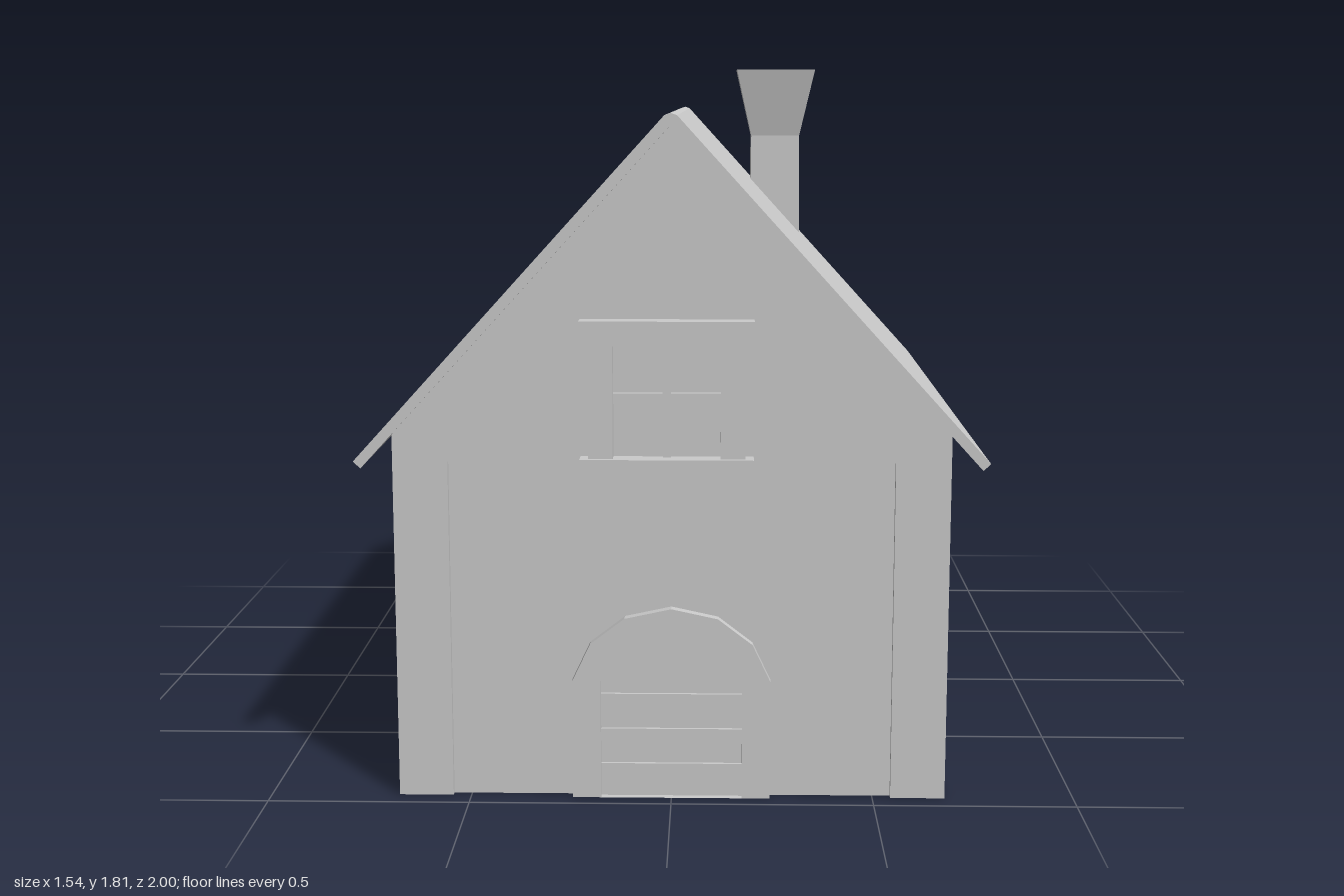
import * as THREE from 'three';

const material = new THREE.MeshStandardMaterial({ color: 0xcccccc, flatShading: true, side: THREE.DoubleSide });

export function createModel() {
  const house = new THREE.Group();

  const add = (name, geometry) => {
    const mesh = new THREE.Mesh(geometry, material);
    mesh.name = name;
    house.add(mesh);
    return mesh;
  };
  // Box given by its extents on each axis
  const box = (name, x0, x1, y0, y1, z0, z1) => add(name,
    new THREE.BoxGeometry(x1 - x0, y1 - y0, z1 - z0)
      .translate((x0 + x1) / 2, (y0 + y1) / 2, (z0 + z1) / 2));
  const outline = (points) => new THREE.Shape(points.map(([x, y]) => new THREE.Vector2(x, y)));
  // Outline extruded from z0 to z1
  const slab = (shape, z0, z1) =>
    new THREE.ExtrudeGeometry(shape, { depth: z1 - z0, bevelEnabled: false }).translate(0, 0, z0);
  // Completes a right-hand half profile with its mirror image
  const mirrored = (half) => [...half, ...half.filter(([x]) => x > 0).reverse().map(([x, y]) => [-x, y])];

  // Recessed walls, and the slightly proud gable storey above them
  box('walls', -0.665, 0.665, 0, 0.86, -0.935, 0.935);
  add('gable', slab(outline(mirrored([[0.68, 0.85], [0.68, 0.93], [0, 1.665]])), -0.95, 0.95));

  // Corner posts
  for (const sx of [-1, 1]) for (const sz of [-1, 1]) {
    const x = 0.6125 * sx, z = 0.88 * sz;
    box('cornerPost', x - 0.0675, x + 0.0675, 0, 0.86, z - 0.07, z + 0.07);
  }

  // Side framing: middle post and two braces, running through to both sides
  box('middlePost', -0.68, 0.68, 0, 0.86, -0.065, 0.065);
  for (const s of [-1, 1]) {
    const brace = outline([[0.06 * s, 0.03], [0.81 * s, 0.66], [0.81 * s, 0.8], [0.06 * s, 0.19]]);
    add('diagonalBrace', slab(brace, -0.682, 0.682).rotateY(-Math.PI / 2));
  }

  // Back beams
  box('backBeam', -0.55, 0.55, 0.36, 0.47, -0.948, -0.93);
  add('backGableBeam', slab(outline(mirrored([[0.44, 1.18], [0.36, 1.27]])), -0.965, -0.94));

  // Roof
  add('roof', slab(outline([
    [0.015, 1.685], [0, 1.69], [-0.015, 1.685], [-0.77, 0.855], [-0.752, 0.838],
    [0, 1.662], [0.752, 0.838], [0.77, 0.855],
  ]), -1, 0.98));

  // Square flared chimney with a hollow top
  const profile = [[0, 1.2], [0.08, 1.2], [0.077, 1.6], [0.124, 1.81], [0.078, 1.81], [0.058, 1.66], [0, 1.66]]
    .map(([half, y]) => new THREE.Vector2(half * Math.SQRT2, y));
  const chimney = add('chimney', new THREE.LatheGeometry(profile, 4, Math.PI / 4));
  chimney.position.set(0.296, 0, -0.735);

  // Arched door surround
  const innerArch = mirrored([[0.175, 0], [0.175, 0.3], [0.14, 0.37], [0.08, 0.41], [0, 0.425]]);
  const surround = outline(mirrored([[0.245, 0], [0.245, 0.3], [0.2, 0.395], [0.115, 0.46], [0, 0.485]]));
  surround.holes.push(outline(innerArch));
  add('doorSurround', slab(surround, 0.93, 0.96));

  // Door planks: the top one follows the arch
  for (let i = 0; i < 3; i++) box('doorPlank', -0.175, 0.175, i * 0.09, i * 0.09 + 0.083, 0.93, 0.943);
  add('doorTopPlank', slab(outline(innerArch.map(([x, y]) => [x, Math.max(y, 0.27)])), 0.93, 0.943));

  // Window
  box('windowLintel', -0.22, 0.2, 1.14, 1.2, 0.94, 1);
  box('windowSill', -0.22, 0.2, 0.81, 0.865, 0.93, 1);
  box('windowJamb', -0.2, -0.14, 0.865, 1.14, 0.94, 0.985);
  box('windowJamb', 0.12, 0.18, 0.865, 1.14, 0.94, 0.985);
  box('windowBar', -0.14, 0.12, 1, 1.022, 0.94, 0.965);
  box('windowBar', -0.02, 0, 0.865, 1.14, 0.94, 0.963);

  return house;
}
